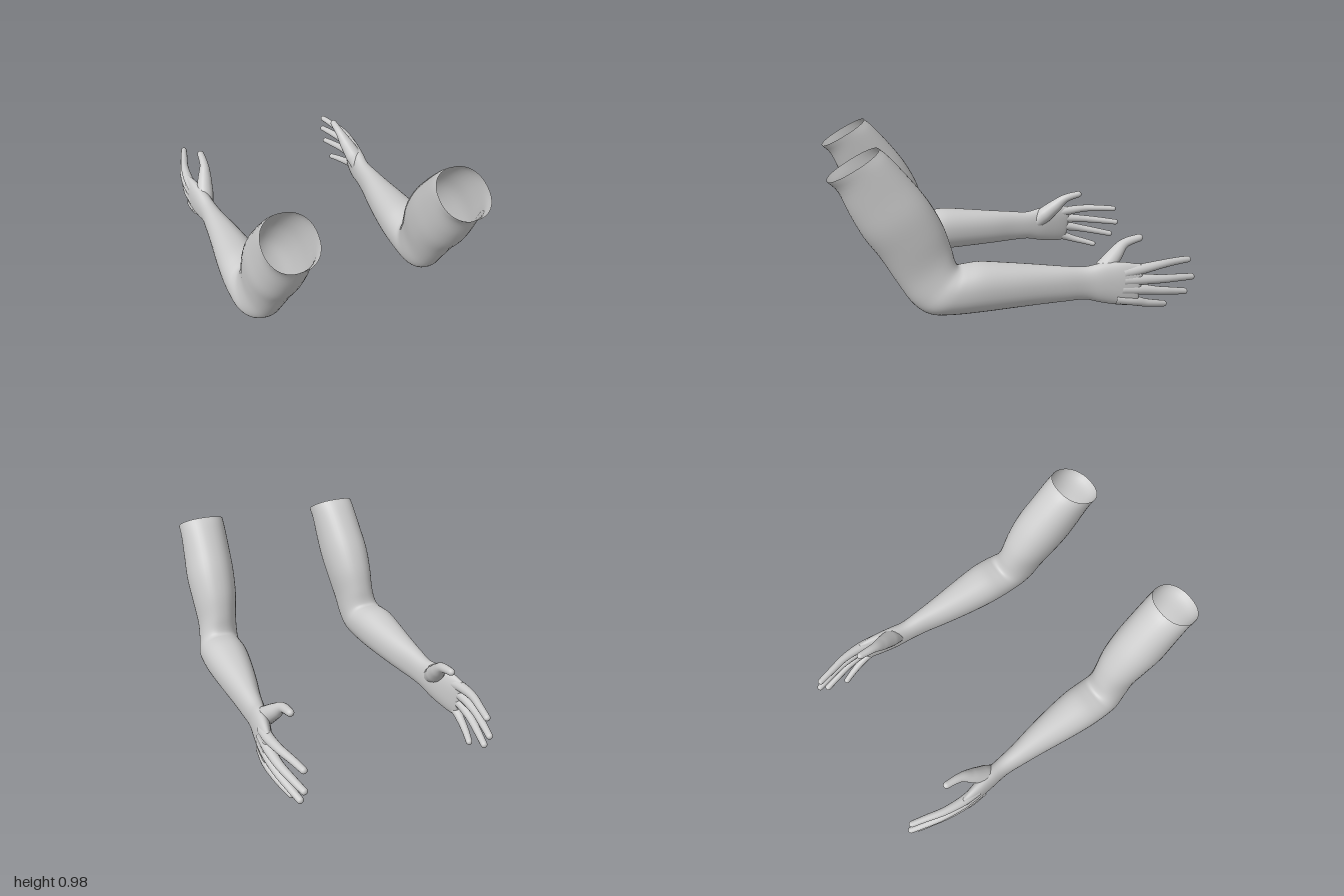
import * as THREE from 'three';

const V = (x, y, z) => new THREE.Vector3(x, y, z);
const skin = new THREE.MeshStandardMaterial({ color: 0xcccccc, side: THREE.DoubleSide });

// Skins a list of closed rings into one smooth surface
function loft(rings) {
  const n = rings[0].length, pos = [], index = [];
  for (const ring of rings) for (const p of ring) pos.push(p.x, p.y, p.z);
  for (let i = 0; i < rings.length - 1; i++) {
    for (let j = 0; j < n; j++) {
      const a = i * n + j, b = i * n + (j + 1) % n;
      index.push(a, b, a + n, b, b + n, a + n);
    }
  }
  const g = new THREE.BufferGeometry();
  g.setAttribute('position', new THREE.Float32BufferAttribute(pos, 3));
  g.setIndex(index);
  g.computeVertexNormals();
  return g;
}

// Rounded ring around c, with half-axes d and w; power below 1 makes it squarer
function ring(c, d, w, n, power = 1) {
  const soft = v => Math.sign(v) * Math.abs(v) ** power;
  return Array.from({ length: n }, (_, j) => {
    const a = j / n * Math.PI * 2;
    return c.clone().addScaledVector(d, soft(Math.cos(a))).addScaledVector(w, soft(Math.sin(a)));
  });
}

// Upper arm, elbow, forearm and palm: [lower z, lower y, upper z, upper y, inner x, outer x]
const sections = [
  [1.00, 0.845, 0.74, 0.99, 0.32, 0.595],
  [0.95, 0.79, 0.69, 0.945, 0.322, 0.597],
  [0.90, 0.67, 0.60, 0.84, 0.325, 0.605],
  [0.84, 0.55, 0.51, 0.72, 0.33, 0.615],
  [0.76, 0.43, 0.44, 0.59, 0.345, 0.61],
  [0.68, 0.29, 0.40, 0.47, 0.37, 0.602],
  [0.61, 0.18, 0.38, 0.39, 0.38, 0.615],
  [0.53, 0.12, 0.36, 0.36, 0.385, 0.635],
  [0.42, 0.105, 0.32, 0.362, 0.385, 0.643],
  [0.26, 0.103, 0.24, 0.367, 0.388, 0.643],
  [0.10, 0.105, 0.10, 0.35, 0.407, 0.63],
  [-0.07, 0.107, -0.07, 0.327, 0.437, 0.611],
  [-0.21, 0.109, -0.21, 0.308, 0.467, 0.598],
  [-0.33, 0.108, -0.33, 0.295, 0.485, 0.59],
  [-0.43, 0.083, -0.43, 0.312, 0.50, 0.60],
  [-0.53, 0.065, -0.53, 0.315, 0.525, 0.61],
  [-0.60, 0.063, -0.61, 0.303, 0.548, 0.612],
  [-0.625, 0.08, -0.645, 0.29, 0.562, 0.607],
  [-0.635, 0.17, -0.655, 0.19, 0.58, 0.59],
];

function limbGeometry() {
  const lower = new THREE.CatmullRomCurve3(sections.map(s => V(s[4], s[1], s[0])), false, 'catmullrom');
  const upper = new THREE.CatmullRomCurve3(sections.map(s => V(s[5], s[3], s[2])), false, 'catmullrom');
  const rings = [], steps = (sections.length - 1) * 4;
  for (let i = 0; i <= steps; i++) {
    const a = lower.getPoint(i / steps), b = upper.getPoint(i / steps);
    const half = b.clone().sub(a).multiplyScalar(0.5);
    const c = a.clone().add(half);
    rings.push(ring(c, V(0, half.y, half.z), V(half.x, 0, 0), 40, 0.9));
  }
  return loft(rings);
}

// Finger along a path, tapering through the radii to a rounded tip
function fingerGeometry(points, radii) {
  const path = new THREE.CatmullRomCurve3(points.map(p => V(...p)), false, 'catmullrom');
  const length = path.getLength(), tip = radii[radii.length - 1], rings = [], steps = 36;
  for (let i = 0; i <= steps; i++) {
    // Rings gather towards the tip
    const t = 1 - (1 - i / steps) ** 1.6;
    const k = t * (radii.length - 1), f = Math.min(Math.floor(k), radii.length - 2);
    const left = (1 - t) * length;
    const round = left < tip ? Math.sqrt(Math.max(0, 1 - (1 - left / tip) ** 2)) : 1;
    const r = THREE.MathUtils.lerp(radii[f], radii[f + 1], k - f) * Math.max(round, 0.01);
    const dir = path.getTangent(t);
    const up = V(1, 0, 0).cross(dir).normalize();
    const side = dir.clone().cross(up);
    rings.push(ring(path.getPoint(t), up.multiplyScalar(r), side.multiplyScalar(r), 16));
  }
  return loft(rings);
}

const fingerRadii = [0.034, 0.03, 0.024, 0.021, 0.018];
const parts = {
  limb: limbGeometry(),
  thumb: fingerGeometry(
    [[0.545, 0.20, -0.37], [0.525, 0.27, -0.45], [0.50, 0.335, -0.52], [0.48, 0.39, -0.585], [0.474, 0.418, -0.695]],
    [0.045, 0.054, 0.043, 0.027, 0.02]),
  indexFinger: fingerGeometry(
    [[0.575, 0.255, -0.54], [0.582, 0.268, -0.64], [0.572, 0.28, -0.76], [0.545, 0.28, -0.87], [0.52, 0.275, -0.975]],
    fingerRadii),
  middleFinger: fingerGeometry(
    [[0.58, 0.215, -0.54], [0.588, 0.21, -0.65], [0.58, 0.197, -0.78], [0.555, 0.183, -0.90], [0.53, 0.17, -1]],
    fingerRadii),
  ringFinger: fingerGeometry(
    [[0.58, 0.165, -0.53], [0.588, 0.153, -0.64], [0.58, 0.13, -0.75], [0.558, 0.107, -0.86], [0.535, 0.085, -0.96]],
    fingerRadii),
  littleFinger: fingerGeometry(
    [[0.575, 0.11, -0.50], [0.585, 0.09, -0.60], [0.575, 0.063, -0.68], [0.555, 0.041, -0.76], [0.53, 0.02, -0.835]],
    fingerRadii.map(r => r * 0.95)),
};

// Mirrored copy across x, with the face order turned round
function mirrored(geometry) {
  const g = geometry.clone().scale(-1, 1, 1);
  g.setIndex(Array.from(geometry.index.array).reverse());
  g.computeVertexNormals();
  return g;
}

export function createModel() {
  const model = new THREE.Group();
  model.name = 'armPair';
  for (const name of ['leftArm', 'rightArm']) {
    const arm = new THREE.Group();
    arm.name = name;
    for (const [part, geometry] of Object.entries(parts)) {
      const mesh = new THREE.Mesh(name === 'leftArm' ? geometry : mirrored(geometry), skin);
      mesh.name = part;
      arm.add(mesh);
    }
    model.add(arm);
  }
  return model;
}
